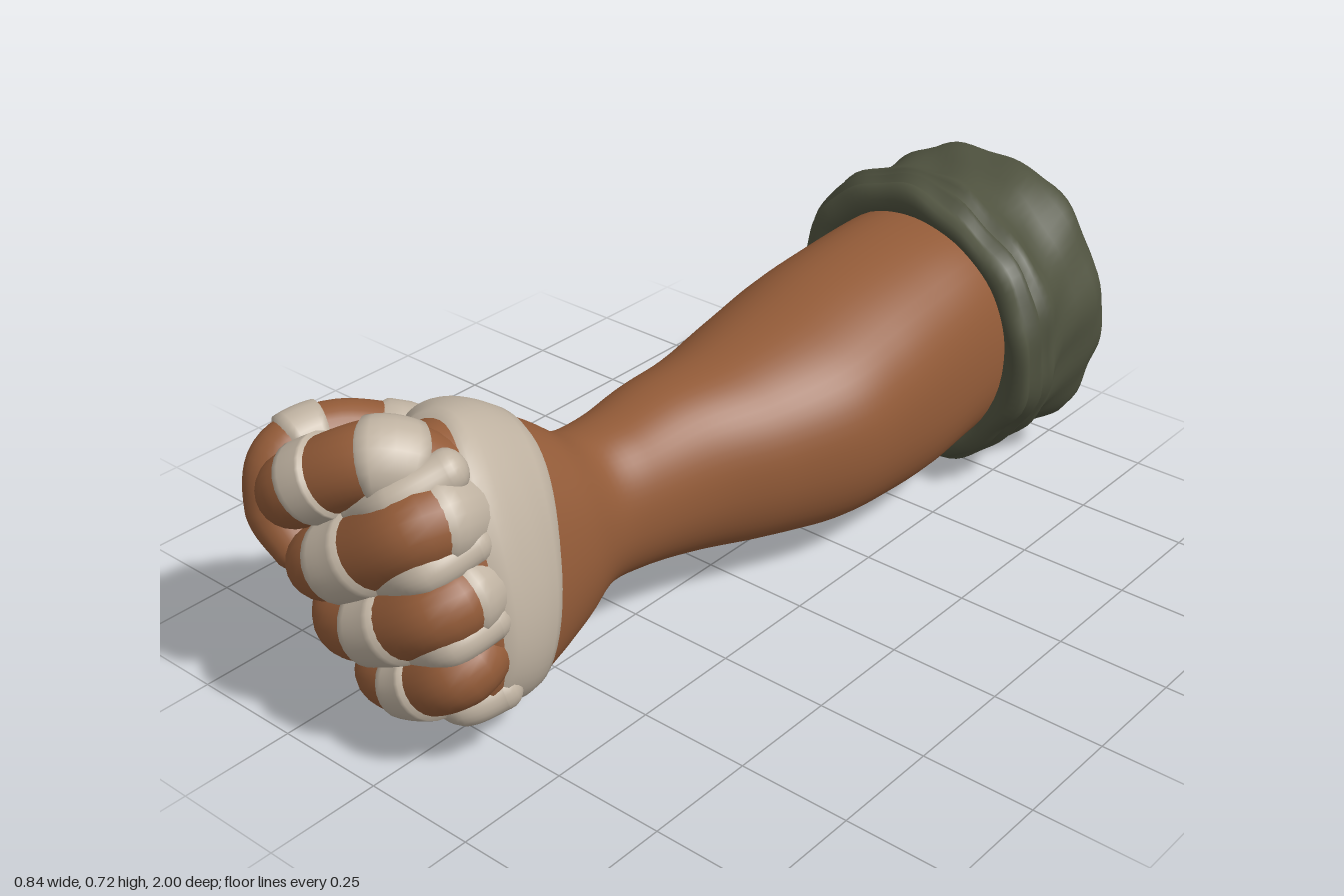
import * as THREE from 'three';

const mat = (name, color) => Object.assign(new THREE.MeshStandardMaterial({ color }), { name });
const V = (p) => new THREE.Vector3(...p);
const TAU = Math.PI * 2;

// Skin a grid of points: rows run along the part, columns run round it
function skinGrid(rows, cols, point) {
  const pos = [], index = [];
  for (let i = 0; i <= rows; i++)
    for (let j = 0; j < cols; j++) pos.push(...point(i, (j / cols) * TAU));
  for (let i = 0; i < rows; i++)
    for (let j = 0; j < cols; j++) {
      const k = (j + 1) % cols, a = i * cols + j, b = i * cols + k;
      index.push(a, b, a + cols, b, b + cols, a + cols);
    }
  const g = new THREE.BufferGeometry();
  g.setAttribute('position', new THREE.Float32BufferAttribute(pos, 3));
  g.setIndex(index);
  g.computeVertexNormals();
  return g;
}

// Forearm and palm sections: z, centre x, centre y, half width, half height, lean
const SECTIONS = [
  [-0.76, 0.05, 0.345, 0.255, 0.28, 0],
  [-0.62, 0.05, 0.345, 0.26, 0.285, 0],
  [-0.48, 0.045, 0.33, 0.267, 0.287, 0],
  [-0.33, 0.038, 0.32, 0.272, 0.272, 0],
  [-0.18, 0.035, 0.31, 0.262, 0.247, 0],
  [0, 0.015, 0.305, 0.215, 0.215, 0],
  [0.15, -0.01, 0.31, 0.175, 0.195, 0],
  [0.3, -0.02, 0.312, 0.15, 0.172, 0],
  [0.4, -0.033, 0.312, 0.148, 0.175, 0.05],
  [0.5, -0.04, 0.325, 0.175, 0.235, 0.16],
  [0.6, -0.025, 0.35, 0.17, 0.278, 0.24],
  [0.7, 0.01, 0.375, 0.15, 0.288, 0.27],
  [0.78, 0.022, 0.39, 0.136, 0.278, 0.28],
  [0.85, 0.015, 0.39, 0.105, 0.24, 0.28],
  [0.88, 0.0, 0.39, 0.01, 0.02, 0.28],
];
const sectionAt = new THREE.CubicInterpolant(
  SECTIONS.map((s) => s[0]), SECTIONS.flatMap((s) => s.slice(1)), 5, new Float32Array(5));

function armPoint(z, th, grow = 0) {
  const [cx, cy, a, b, lean] = sectionAt.evaluate(z);
  const soft = (v) => Math.sign(v) * Math.abs(v) ** 0.94;
  // soft muscle ridges that fade out before the wrist, and the fleshy base of the thumb
  const ridge = 1 + 0.012 * Math.sin(5 * th + 4 * z) * THREE.MathUtils.clamp(0.4 - z, 0, 1);
  const bulge = grow + 0.085 * Math.exp(-(((th - 2.5) / 0.6) ** 2) - ((z - 0.62) / 0.11) ** 2);
  const x = (a * ridge + bulge) * soft(Math.cos(th)), y = (b * ridge + (bulge + grow) / 2) * soft(Math.sin(th));
  return [cx + x * Math.cos(lean) - y * Math.sin(lean), cy + x * Math.sin(lean) + y * Math.cos(lean), z];
}

// Round limb along a curve with rounded ends; wraps reuse a stretch of the same limb
function limb({ path, radii }, t0 = 0, t1 = 1, wrap = 0) {
  const curve = new THREE.CatmullRomCurve3(path.map(V)), n = wrap ? 8 : 40, rings = [];
  const radius = (t) => {
    const f = t * (radii.length - 1), i = Math.min(Math.floor(f), radii.length - 2);
    return THREE.MathUtils.lerp(radii[i], radii[i + 1], f - i);
  };
  const N = new THREE.Vector3(0.12, 0.9, 0.3);
  for (let i = 0; i <= n; i++) {
    const t = t0 + ((t1 - t0) * i) / n, T = curve.getTangent(t);
    N.addScaledVector(T, -T.dot(N)).normalize();
    const edge = i === 0 || i === n;
    const r = radius(t) + (wrap ? (edge ? -0.01 : wrap) : 0);
    rings.push({ c: curve.getPoint(t), T, N: N.clone(), B: T.clone().cross(N), r });
  }
  const cap = (ring, side) => [0.3, 0.6, 0.9, 1.2, 1.5].map((a) => ({
    ...ring, c: ring.c.clone().addScaledVector(ring.T, side * ring.r * 0.85 * Math.sin(a)), r: ring.r * Math.cos(a) }));
  const all = wrap ? rings : [...cap(rings[0], -1).reverse(), ...rings, ...cap(rings[n], 1)];
  return skinGrid(all.length - 1, 24, (i, th) => {
    const { c, N, B, r } = all[i];
    return c.clone().addScaledVector(N, r * Math.cos(th)).addScaledVector(B, r * Math.sin(th)).toArray();
  });
}

// Curled fingers and thumb: path, thickness along it, and wrapped stretches
const DIGITS = {
  indexFinger: {
    path: [[0, 0.57, 0.76], [-0.06, 0.625, 0.855], [-0.155, 0.585, 0.91], [-0.24, 0.525, 0.925], [-0.255, 0.485, 0.83], [-0.18, 0.45, 0.74]],
    radii: [0.075, 0.08, 0.076, 0.074, 0.068, 0.06], wraps: [[0.1, 0.26], [0.38, 0.51]],
  },
  middleFinger: {
    path: [[0.03, 0.51, 0.76], [0.043, 0.535, 0.865], [-0.08, 0.445, 0.91], [-0.19, 0.38, 0.91], [-0.225, 0.355, 0.82], [-0.15, 0.34, 0.74]],
    radii: [0.082, 0.085, 0.08, 0.075, 0.07, 0.06], wraps: [[0.02, 0.19], [0.35, 0.52]],
  },
  ringFinger: {
    path: [[0.075, 0.38, 0.76], [0.095, 0.385, 0.87], [-0.025, 0.31, 0.905], [-0.15, 0.262, 0.895], [-0.215, 0.28, 0.81], [-0.15, 0.27, 0.73]],
    radii: [0.078, 0.08, 0.076, 0.072, 0.066, 0.058], wraps: [[0.02, 0.17], [0.33, 0.49]],
  },
  littleFinger: {
    path: [[0.08, 0.26, 0.74], [0.118, 0.25, 0.86], [0.025, 0.187, 0.88], [-0.09, 0.15, 0.865], [-0.125, 0.155, 0.78], [-0.1, 0.16, 0.7]],
    radii: [0.068, 0.074, 0.07, 0.064, 0.058, 0.055], wraps: [[0.33, 0.49]],
  },
  thumb: {
    path: [[-0.18, 0.46, 0.57], [-0.25, 0.505, 0.65], [-0.33, 0.545, 0.76], [-0.36, 0.52, 0.86], [-0.352, 0.42, 0.885], [-0.3, 0.355, 0.885]],
    radii: [0.06, 0.074, 0.062, 0.06, 0.063, 0.052], wraps: [[0.04, 0.29], [0.41, 0.55]],
  },
};

// Cloth strips tucked between the knuckles
const STRIPS = [
  [[0.05, 0.62, 0.8], [0.0, 0.58, 0.89], [-0.09, 0.53, 0.905]],
  [[0.1, 0.49, 0.8], [0.075, 0.465, 0.895], [-0.05, 0.39, 0.91]],
  [[0.14, 0.34, 0.8], [0.12, 0.32, 0.885], [0, 0.25, 0.895]],
  [[0.14, 0.17, 0.78], [0.1, 0.15, 0.84], [0, 0.125, 0.83]],
];

// Cuff profile from the recess floor, over the back lip and folds, to the arm: radius, z
const CUFF = [
  [0.001, -0.79], [0.14, -0.79], [0.25, -0.79], [0.255, -0.79], [0.258, -0.86], [0.262, -0.94], [0.268, -0.968],
  [0.295, -0.985], [0.33, -0.98], [0.35, -0.95], [0.354, -0.91], [0.343, -0.86], [0.338, -0.81], [0.345, -0.77],
  [0.356, -0.74], [0.354, -0.722], [0.337, -0.715], [0.35, -0.7], [0.352, -0.685], [0.332, -0.677],
  [0.338, -0.66], [0.33, -0.64], [0.305, -0.632], [0.28, -0.645], [0.24, -0.68],
];

function cuffPoint(i, th) {
  const [r, z] = CUFF[i];
  const loose = THREE.MathUtils.smoothstep(r, 0.25, 0.34);
  const lump = 0.007 * Math.sin(3 * th + 1 + 9 * z) + 0.005 * Math.sin(7 * th - 14 * z) + 0.003 * Math.sin(13 * th + 30 * z);
  const rr = r + loose * lump;
  const slant = loose * (0.03 * Math.cos(th) + 0.01 * Math.sin(2 * th + 0.6)) * (z > -0.88 ? 1 : 0.6);
  return [0.05 + rr * 1.02 * Math.cos(th), 0.355 + rr * 0.99 * Math.sin(th), z + slant];
}

export function createModel() {
  const model = new THREE.Group();
  model.name = 'wrappedFistAndForearm';
  const skin = mat('brownSkin', 0x935b38);
  const cloth = mat('paleCloth', 0xc0b3a2);
  const olive = mat('oliveSleeve', 0x4f523f);
  const add = (name, geometry, material, parent = model) => {
    const mesh = new THREE.Mesh(geometry, material);
    mesh.name = name;
    parent.add(mesh);
  };

  // Forearm and palm
  add('forearmAndPalm', skinGrid(90, 56, (i, th) => armPoint(-0.76 + (1.64 * i) / 90, th)), skin);

  // Rolled sleeve cuff with a recess at the back
  add('sleeveCuff', skinGrid(CUFF.length - 1, 96, cuffPoint), olive);

  // Broad band round the palm, slanting forward toward the little finger
  const BAND = [-0.006, 0.01, 0.011, 0.012, 0.013, 0.013, 0.013, 0.013, 0.013, 0.012, 0.01, -0.008];
  add('palmBand', skinGrid(BAND.length - 1, 56, (i, th) => {
    const s = Math.sin(th), back = 0.605 - 0.075 * s, front = 0.81 - 0.075 * Math.max(s, 0) ** 3;
    return armPoint(THREE.MathUtils.lerp(back, front, i / (BAND.length - 1)), th, BAND[i]);
  }), cloth);

  // Digits with their wraps
  for (const [name, digit] of Object.entries(DIGITS)) {
    const group = new THREE.Group();
    group.name = name;
    model.add(group);
    add(name + 'Skin', limb(digit), skin, group);
    digit.wraps.forEach(([a, b], i) => add(`${name}Wrap${i + 1}`, limb(digit, a, b, 0.008), cloth, group));
  }

  STRIPS.forEach((path, i) => add(`knuckleStrip${i + 1}`, limb({ path, radii: [0.045, 0.047, 0.03] }), cloth));
  return model;
}
